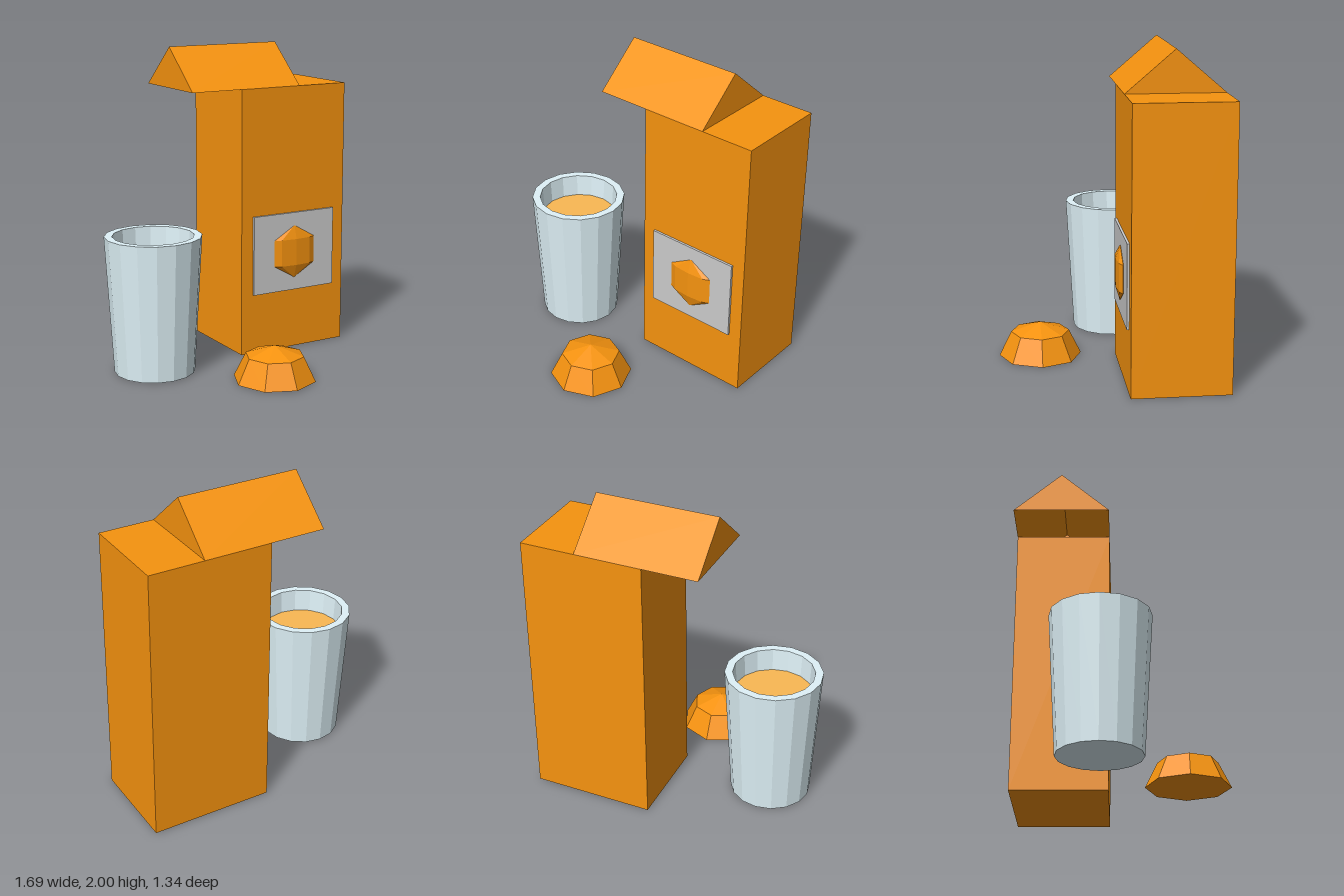
import * as THREE from 'three';

const material = (color, side = THREE.FrontSide) =>
  new THREE.MeshStandardMaterial({ color, flatShading: true, side });

const ORANGE = 0xf6930f;

export function createModel() {
  const model = new THREE.Group();
  const orange = material(ORANGE);

  const add = (name, geometry, mat, x, y, z, parent = model) => {
    const mesh = new THREE.Mesh(geometry, mat);
    mesh.name = name;
    mesh.position.set(x, y, z);
    parent.add(mesh);
    return mesh;
  };
  const lathe = (points, sides) =>
    new THREE.LatheGeometry(points.map(([r, y]) => new THREE.Vector2(r, y)), sides);

  // Carton: body, front label and the flattened fruit on it
  const carton = new THREE.Group();
  carton.name = 'carton';
  model.add(carton);
  add('cartonBody', new THREE.BoxGeometry(0.78, 1.74, 0.605), orange, 0.455, 0.87, -0.37, carton);
  add('label', new THREE.BoxGeometry(0.61, 0.52, 0.02), material(0xcccccc), 0.455, 0.655, -0.063, carton);
  const fruit = add('labelFruit', new THREE.SphereGeometry(0.175, 8, 3), orange, 0.455, 0.655, -0.05, carton);
  fruit.scale.z = 0.18;

  // Gable top, shifted sideways, open underneath
  const [w, h, d] = [0.39, 0.26, 0.3025];
  const corner = {
    a: [-w, 0, d], b: [w, 0, d], c: [w, 0, -d], e: [-w, 0, -d], r: [-w, h, 0], s: [w, h, 0],
  };
  const faces = 'abs asr cer crs bcs ear'.split(' ');
  const gable = new THREE.BufferGeometry();
  gable.setAttribute('position', new THREE.Float32BufferAttribute(
    faces.flatMap((f) => [...f].flatMap((k) => corner[k])), 3));
  gable.computeVertexNormals();
  add('gableTop', gable, material(ORANGE, THREE.DoubleSide), 0.105, 1.74, -0.37, carton);

  // Tapered drinking glass with a thick wall
  const glass = new THREE.Group();
  glass.name = 'glass';
  glass.position.set(-0.545, 0, -0.11);
  model.add(glass);
  add('glassWall', lathe(
    [[0, 0], [0.255, 0], [0.305, 0.87], [0.255, 0.87], [0.212, 0.06], [0, 0.06]], 16),
    material(0xdff2f8), 0, 0, 0, glass);
  add('juice', lathe([[0, 0.07], [0.211, 0.07], [0.246, 0.725], [0, 0.725]], 16),
    material(0xfab853), 0, 0, 0, glass);

  // Half fruit lying on the ground
  add('halfFruit', lathe([[0, 0], [0.26, 0], [0.184, 0.155], [0, 0.215]], 8), orange, 0.02, 0, 0.41);

  return model;
}
